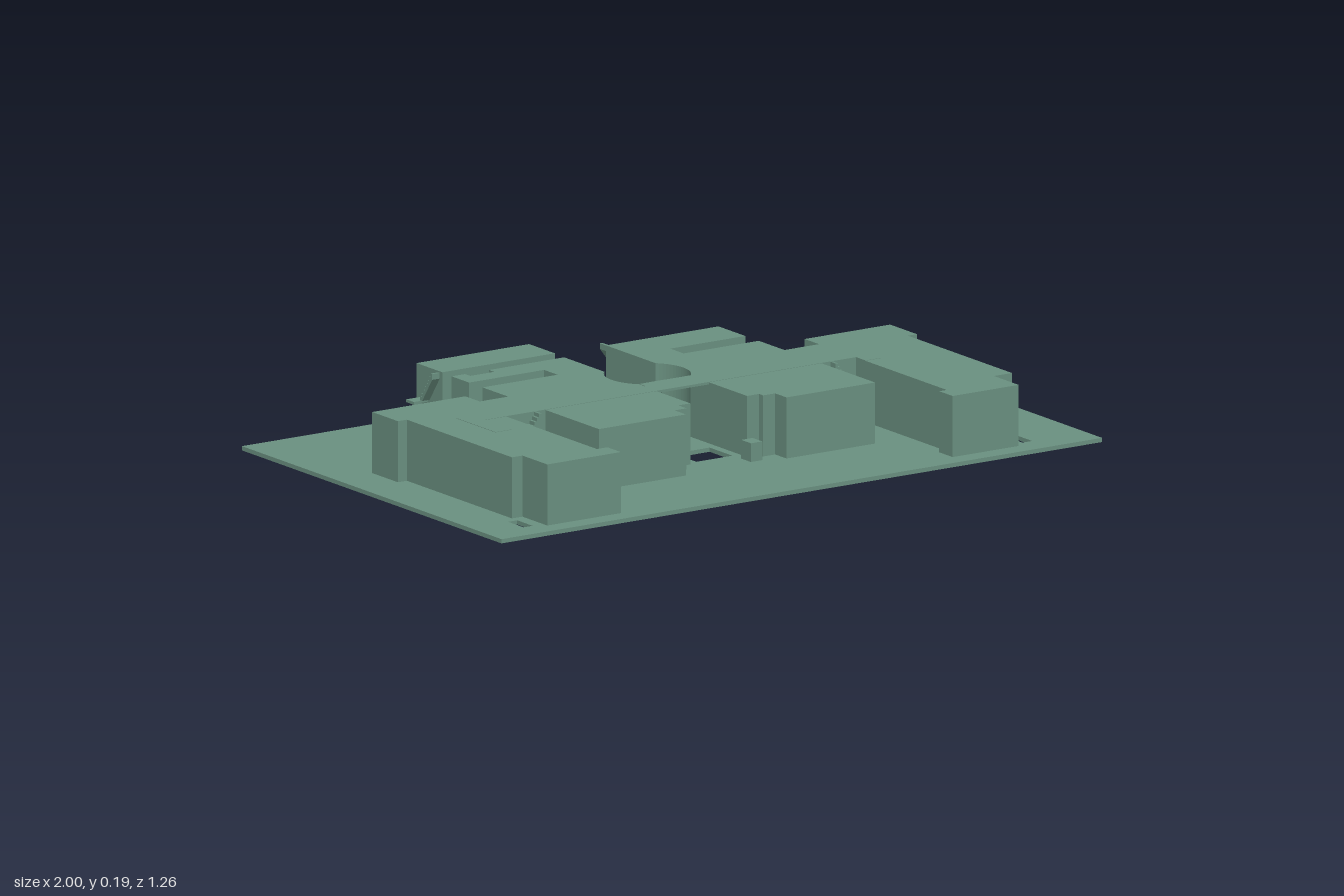
import * as THREE from 'three';

const material = new THREE.MeshStandardMaterial({ color: 0x6a9080, side: THREE.DoubleSide });
const BASE = 0.012, ROOF = 0.185;
const COURT = { x: -0.01, z: -0.105, r: 0.12 };

// Plan points are [x, z]; the extruder works in (x, -z) and is laid flat.
const toShape = (pts) => new THREE.Shape(pts.map(([x, z]) => new THREE.Vector2(x, -z)));
const rect = (x0, x1, z0, z1) => [[x0, z0], [x1, z0], [x1, z1], [x0, z1]];

function arc(cx, cz, r, from, to, n) {
  return Array.from({ length: n + 1 }, (_, i) => {
    const a = THREE.MathUtils.degToRad(from + (to - from) * i / n);
    return [cx + r * Math.cos(a), cz + r * Math.sin(a)];
  });
}

function slab(name, pts, y0, y1, holes = []) {
  const shape = toShape(pts);
  shape.holes = holes.map(toShape);
  const geo = new THREE.ExtrudeGeometry(shape, { depth: y1 - y0, bevelEnabled: false });
  geo.rotateX(-Math.PI / 2).translate(0, y0, 0);
  const mesh = new THREE.Mesh(geo, material);
  mesh.name = name;
  return mesh;
}

// One straight flight climbing along +x, with a stepped top and sloping soffit
function flight(name, length, rise, width, steps = 8) {
  const s = new THREE.Shape();
  const run = length / steps, up = rise / steps;
  s.moveTo(0, 0);
  for (let i = 0; i < steps; i++) {
    s.lineTo(i * run, (i + 1) * up);
    s.lineTo((i + 1) * run, (i + 1) * up);
  }
  s.lineTo(length, rise - up * 1.5);
  s.lineTo(run * 1.5, 0);
  s.closePath();
  const mesh = new THREE.Mesh(
    new THREE.ExtrudeGeometry(s, { depth: width, bevelEnabled: false }), material);
  mesh.name = name;
  return mesh;
}

// Two flights that turn back at a half landing
function stair({ name, x, z, turn = 0, mirror = false, length, width, landing, round = false }) {
  const g = new THREE.Group();
  g.name = name;
  const mid = (ROOF + BASE) / 2, rise = mid - BASE;
  const lower = flight('lowerFlight', length, rise, width);
  lower.position.y = BASE;
  const upper = flight('upperFlight', length, rise, width);
  upper.rotation.y = Math.PI;
  upper.position.set(length, mid, 2 * width);
  const plan = round
    ? arc(length, width, width, -90, 90, 20)
    : rect(length, length + landing, 0, 2 * width);
  g.add(lower, upper, slab('halfLanding', plan, mid - 0.008, mid));
  g.position.set(x, 0, z);
  g.rotation.y = turn;
  if (mirror) g.scale.z = -1;
  return g;
}

export function createModel() {
  const model = new THREE.Group();
  model.name = 'buildingComplex';

  // Ground plate with its openings
  const curvedOpening = [
    [-0.095, -0.525], [0.05, -0.525], [0.05, -0.49], [0.025, -0.485], [0.003, -0.473],
    [-0.015, -0.458], [-0.035, -0.441], [-0.06, -0.431], [-0.095, -0.43],
  ];
  model.add(slab('groundPlate', rect(-1, 1, -0.63, 0.63), 0, BASE, [
    curvedOpening,
    arc(COURT.x, COURT.z, 0.086, 0, 354, 59),
    rect(-0.07, 0.05, 0.11, 0.22),
    rect(-0.875, -0.845, 0.48, 0.555),
    rect(0.79, 0.822, 0.48, 0.55),
    rect(-0.555, -0.505, 0.097, 0.118),
    rect(0.485, 0.535, 0.097, 0.118),
    rect(-0.523, -0.502, -0.495, -0.445),
    rect(0.08, 0.135, -0.488, -0.464),
  ]));

  // West building: north rooms, court wall, front block, stair niche and wing
  model.add(slab('westBuilding', [
    [-0.47, -0.385], [-0.425, -0.385], [-0.425, -0.36], [-0.345, -0.36], [-0.345, -0.385],
    [-0.095, -0.385],
    ...arc(COURT.x, COURT.z, COURT.r, 225, 135, 18),
    [-0.1, 0.07], [-0.1, 0.235], [-0.14, 0.235], [-0.14, 0.275], [-0.18, 0.275], [-0.18, 0.33],
    [-0.47, 0.33], [-0.47, 0.07], [-0.6, 0.07], [-0.6, 0.51], [-0.565, 0.51], [-0.565, 0.575],
    [-0.81, 0.575], [-0.81, 0.455], [-0.845, 0.455], [-0.845, -0.055], [-0.875, -0.055],
    [-0.875, -0.18], [-0.565, -0.18], [-0.565, -0.11], [-0.47, -0.11], [-0.47, -0.235],
    [-0.22, -0.235], [-0.22, -0.3], [-0.47, -0.3],
  ], BASE, ROOF));

  // East building
  model.add(slab('eastBuilding', [
    [0.45, -0.43], [0.075, -0.43],
    ...arc(COURT.x, COURT.z, COURT.r, -45, 45, 18),
    [0.075, 0.255], [0.115, 0.255], [0.115, 0.275], [0.155, 0.275], [0.155, 0.33],
    [0.45, 0.33], [0.45, 0.07], [0.565, 0.07], [0.565, 0.51], [0.54, 0.51], [0.54, 0.575],
    [0.76, 0.575], [0.76, 0.455], [0.82, 0.455], [0.82, -0.05], [0.85, -0.05],
    [0.85, -0.18], [0.565, -0.18], [0.565, -0.11], [0.45, -0.11], [0.45, -0.235],
    [0.2, -0.235], [0.2, -0.3], [0.45, -0.3],
  ], BASE, ROOF));

  model.add(slab('northBlock', rect(-0.47, -0.095, -0.555, -0.43), BASE, ROOF + 0.002));

  // Roof over the cross corridor, bridging the central passage
  model.add(slab('corridorRoof', [
    [-0.725, 0.01], [0.615, 0.01], [0.615, 0.115], [0.565, 0.115], [0.565, 0.07],
    [-0.67, 0.07], [-0.67, 0.2], [-0.725, 0.2],
  ], ROOF - 0.006, ROOF + 0.001));
  model.add(slab('courtBridge', rect(-0.095, 0.075, -0.02, 0.01), ROOF - 0.006, ROOF + 0.001));

  // Small kiosk in the front passage
  model.add(slab('kiosk', rect(0.052, 0.09, 0.26, 0.307), BASE, 0.065));

  // Stairs
  const small = { length: 0.06, width: 0.025, landing: 0.03 };
  [
    { ...small, name: 'westStair', x: -0.5, z: 0.12, turn: Math.PI },
    { ...small, name: 'eastStair', x: 0.48, z: 0.12, mirror: true },
    { ...small, name: 'northWestStair', x: -0.525, z: -0.435, turn: Math.PI / 2 },
    { name: 'northEastStair', x: 0.075, z: -0.488, length: 0.065, width: 0.029, landing: 0.03 },
    { name: 'courtStair', x: 0.035, z: -0.015, turn: Math.PI / 2, mirror: true,
      length: 0.072, width: 0.045, round: true },
  ].forEach((s) => model.add(stair(s)));

  return model;
}
